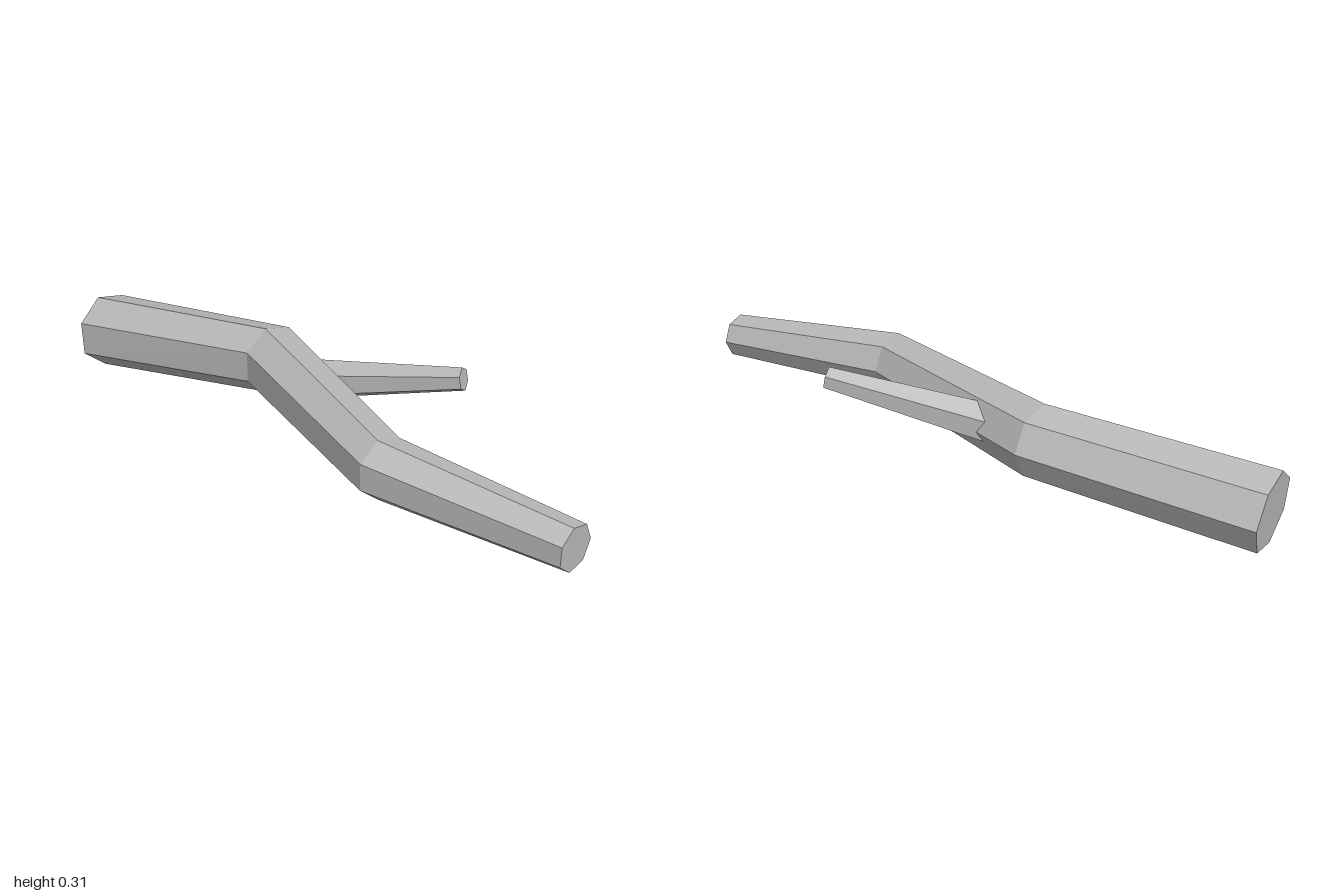
import * as THREE from 'three';

const SIDES = 7;

// Joins seven-sided rings, listed front to back, into a closed crooked limb
function loft(rings) {
  const pos = [], idx = [];
  for (const { c, r, tilt } of rings) {
    for (let i = 0; i < SIDES; i++) {
      const a = (i / SIDES) * Math.PI * 2;
      const dx = r * Math.cos(a), dy = r * Math.sin(a);
      pos.push(c[0] + dx, c[1] + dy, c[2] + dx * tilt[0] + dy * tilt[1]);
    }
  }
  const last = (rings.length - 1) * SIDES;
  for (let k = 0; k < last; k += SIDES) {
    for (let i = 0; i < SIDES; i++) {
      const a = k + i, b = k + ((i + 1) % SIDES);
      idx.push(a, a + SIDES, b + SIDES, a, b + SIDES, b);
    }
  }
  // Cut ends
  for (let i = 1; i < SIDES - 1; i++) {
    idx.push(0, i, i + 1, last, last + i + 1, last + i);
  }
  const g = new THREE.BufferGeometry();
  g.setAttribute('position', new THREE.Float32BufferAttribute(pos, 3));
  g.setIndex(idx);
  const flat = g.toNonIndexed();
  flat.computeVertexNormals();
  return flat;
}

export function createModel() {
  const group = new THREE.Group();
  group.name = 'fallenBranch';
  const bark = new THREE.MeshStandardMaterial({ color: 0xb8b8b8, flatShading: true });
  bark.name = 'greyBark';

  // Main limb, thicker toward the back
  const limb = new THREE.Mesh(loft([
    { c: [-0.026, 0.11, 0.99], r: 0.07, tilt: [-0.11, 0.03] },
    { c: [-0.154, 0.147, 0.395], r: 0.0955, tilt: [0, 0] },
    { c: [0.022, 0.185, -0.313], r: 0.112, tilt: [0, 0] },
    { c: [-0.159, 0.1205, -0.982], r: 0.123, tilt: [-0.15, -0.07] },
  ]), bark);
  limb.name = 'mainLimb';
  group.add(limb);

  // Six-sided side twig, tapering forward and up to its tip
  const base = new THREE.Vector3(0.02, 0.178, -0.14);
  const tip = new THREE.Vector3(0.239, 0.2705, 0.315);
  const twigShape = new THREE.CylinderGeometry(0.037, 0.066, base.distanceTo(tip), 6);
  twigShape.rotateX(Math.PI / 2);
  const twig = new THREE.Mesh(twigShape, bark);
  twig.name = 'sideTwig';
  twig.position.copy(base).lerp(tip, 0.5);
  twig.lookAt(tip);
  group.add(twig);

  return group;
}
